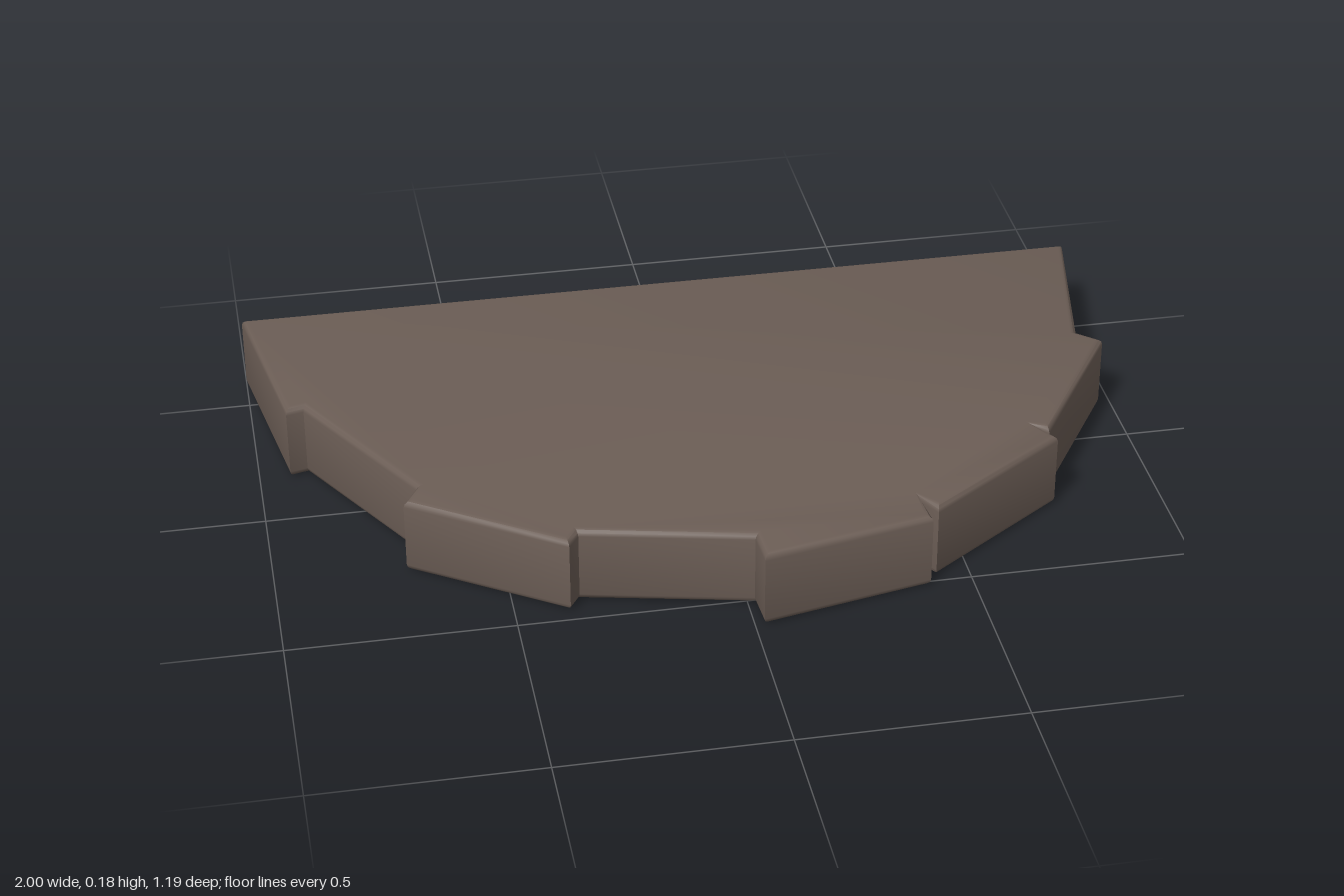
import * as THREE from 'three';
import { toCreasedNormals } from 'three/addons/utils/BufferGeometryUtils.js';

const HEIGHT = 0.18;
const BEVEL = 0.015;

// Plan of the slab as [x, z]: straight back edge, stepped stone blocks around the front
const OUTLINE = [
  [-1, -0.595], [-0.93, -0.17], [-0.89, -0.18],
  [-0.675, 0.19], [-0.71, 0.25], [-0.38, 0.468], [-0.355, 0.43],
  [0.015, 0.512], [0.02, 0.595], [0.405, 0.515], [0.395, 0.435],
  [0.425, 0.482], [0.755, 0.25], [0.715, 0.195], [0.745, 0.215],
  [0.97, -0.14], [0.92, -0.185], [1, -0.595],
];

export function createModel() {
  const stone = new THREE.MeshStandardMaterial({ color: 0x6b5d55 });
  stone.name = 'brownStone';

  // Extruded plan with softly rounded rims
  const shape = new THREE.Shape(OUTLINE.map(([x, z]) => new THREE.Vector2(x, -z)));
  const extruded = new THREE.ExtrudeGeometry(shape, {
    depth: HEIGHT - 2 * BEVEL,
    bevelEnabled: true,
    bevelThickness: BEVEL,
    bevelSize: BEVEL,
    bevelOffset: -BEVEL,
    bevelSegments: 3,
  });
  extruded.rotateX(-Math.PI / 2).translate(0, BEVEL, 0);

  const slab = new THREE.Mesh(toCreasedNormals(extruded, 0.6), stone);
  slab.name = 'stoneSlab';

  const model = new THREE.Group();
  model.name = 'steppedStonePlatform';
  model.add(slab);
  return model;
}
